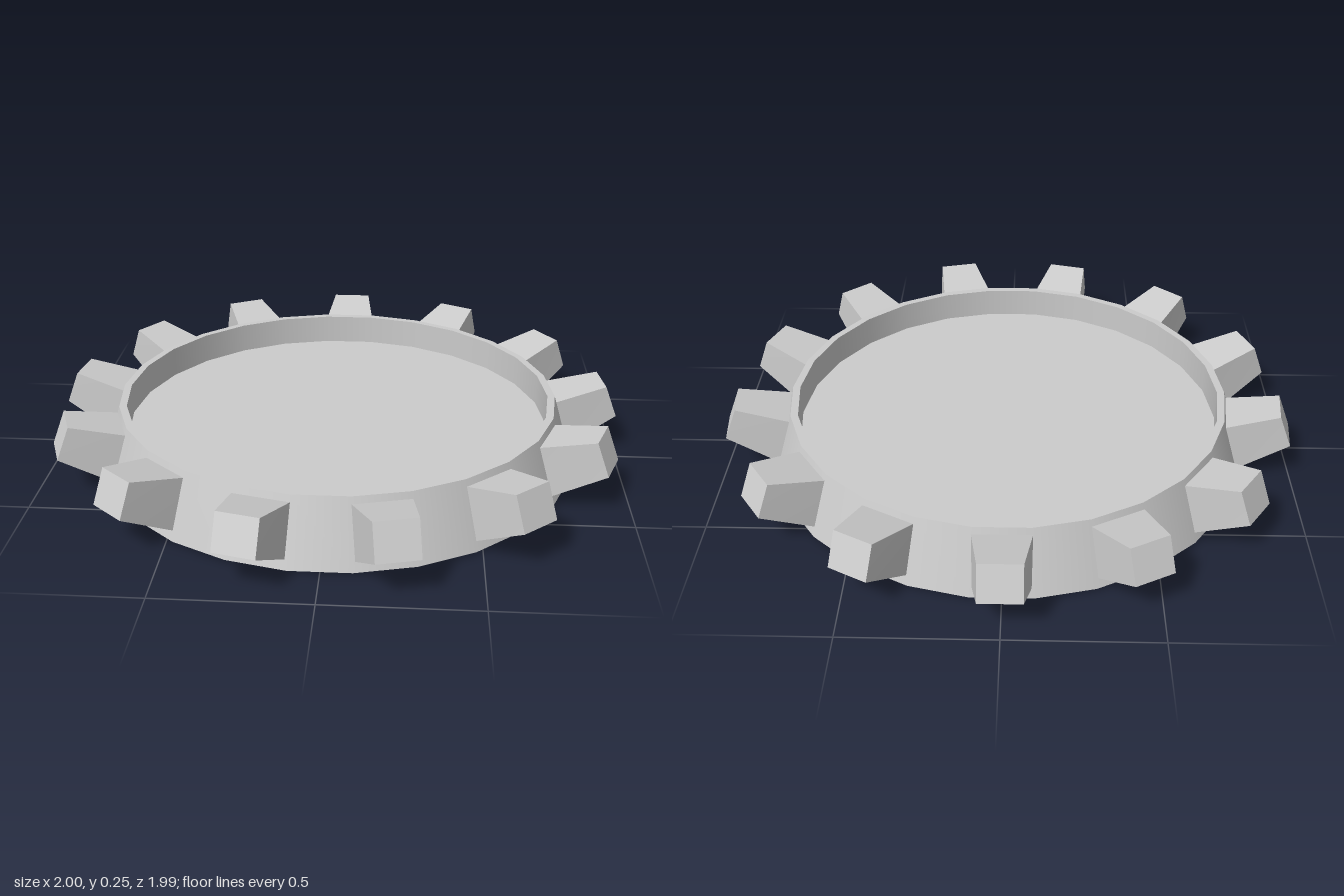
import * as THREE from 'three';

const TEETH = 13;
const SIDES = TEETH * 2; // one flat under each tooth, one between

const material = new THREE.MeshStandardMaterial({ color: 0xcccccc });

// One ring surface of the dish; separate rings keep the edges between them sharp
function ring(name, points) {
  const profile = points.map(([r, y]) => new THREE.Vector2(r, y));
  const mesh = new THREE.Mesh(new THREE.LatheGeometry(profile, SIDES, Math.PI / SIDES), material);
  mesh.name = name;
  return mesh;
}

// Tapered block leaning upwards: a box whose corners follow the tooth's side profile
function toothGeometry() {
  const geometry = new THREE.BoxGeometry(1, 1, 1);
  const position = geometry.attributes.position;
  const tip = { half: 0.07, top: [0.955, 0.255], bottom: [1.0, 0.14] };
  const root = { half: 0.096, top: [0.765, 0.21], bottom: [0.8, 0.028] };
  for (let i = 0; i < position.count; i++) {
    const end = position.getZ(i) > 0 ? tip : root;
    const [radius, height] = position.getY(i) > 0 ? end.top : end.bottom;
    position.setXYZ(i, Math.sign(position.getX(i)) * end.half, height, radius);
  }
  geometry.computeVertexNormals();
  return geometry;
}

export function createModel() {
  const model = new THREE.Group();
  model.name = 'toothedDish';

  // Shallow dish: slightly domed underside, sloping wall, narrow rim, recessed floor
  const dish = new THREE.Group();
  dish.name = 'dish';
  dish.add(
    ring('underside', [[0, 0], [0.84, 0.008]]),
    ring('outerWall', [[0.84, 0.008], [0.771, 0.235]]),
    ring('rim', [[0.771, 0.235], [0.745, 0.235]]),
    ring('innerWall', [[0.745, 0.235], [0.745, 0.127]]),
    ring('floor', [[0.745, 0.127], [0, 0.127]])
  );
  model.add(dish);

  // Teeth spaced evenly around the wall, the first one at the back
  const teeth = new THREE.Group();
  teeth.name = 'teeth';
  const geometry = toothGeometry();
  for (let i = 0; i < TEETH; i++) {
    const tooth = new THREE.Mesh(geometry, material);
    tooth.name = 'tooth';
    tooth.rotation.y = Math.PI + (i / TEETH) * Math.PI * 2;
    teeth.add(tooth);
  }
  model.add(teeth);

  // An odd number of teeth reaches further back than forward
  dish.position.z = teeth.position.z = 0.006;
  return model;
}
